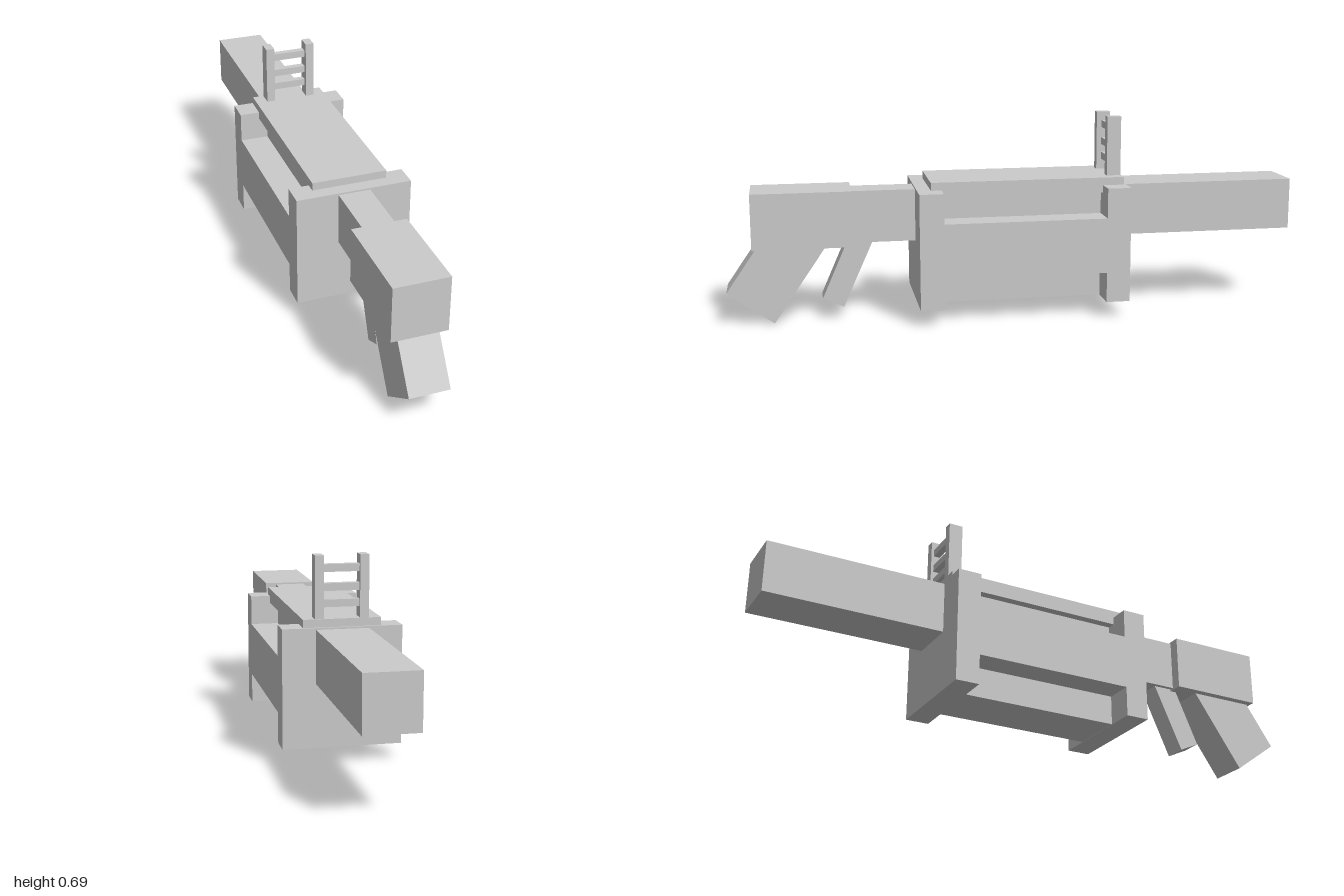
import * as THREE from 'three';

const material = new THREE.MeshStandardMaterial({ color: 0xcccccc, flatShading: true });

export function createModel() {
  const model = new THREE.Group();

  const add = (name, geometry) => {
    const mesh = new THREE.Mesh(geometry, material);
    mesh.name = name;
    model.add(mesh);
    return mesh;
  };

  // Box given by its limits on each axis
  const box = (name, [x0, x1], [y0, y1], [z0, z1]) =>
    add(name, new THREE.BoxGeometry(x1 - x0, y1 - y0, z1 - z0))
      .position.set((x0 + x1) / 2, (y0 + y1) / 2, (z0 + z1) / 2);

  // Side profile of [z, y] points, extruded across x
  const slab = (name, halfWidth, points) => {
    const shape = new THREE.Shape(points.map(([z, y]) => new THREE.Vector2(-z, y)));
    const geometry = new THREE.ExtrudeGeometry(shape, { depth: 2 * halfWidth, bevelEnabled: false });
    geometry.translate(0, 0, -halfWidth).rotateY(Math.PI / 2);
    add(name, geometry);
  };

  // Body: core, flush side panels, end plates and lid
  box('bodyCore', [-0.1, 0.1], [0.056, 0.44], [-0.3, 0.28]);
  box('sidePanels', [-0.2, 0.2], [0.16, 0.352], [-0.296, 0.27]);
  box('frontPlate', [-0.2, 0.2], [0.055, 0.456], [0.27, 0.353]);
  box('backPlate', [-0.2, 0.2], [0.055, 0.456], [-0.378, -0.295]);
  box('lid', [-0.13, 0.13], [0.43, 0.483], [-0.37, 0.306]);

  // Barrel, neck and end block
  box('barrel', [-0.088, 0.088], [0.27, 0.45], [-1, -0.37]);
  box('neck', [-0.055, 0.055], [0.27, 0.45], [0.34, 0.58]);
  box('endBlock', [-0.094, 0.094], [0.263, 0.456], [0.57, 0.91]);

  // Slanted grip and trigger, their tops sunk into the parts above
  slab('grip', 0.068, [[0.842, 0], [1, 0.113], [0.89, 0.273], [0.655, 0.273]]);
  slab('trigger', 0.04, [[0.604, 0.04], [0.676, 0.073], [0.587, 0.275], [0.498, 0.275]]);

  // Ladder sight
  for (const side of [-1, 1]) {
    const xs = [side * 0.06, side * 0.09].sort((a, b) => a - b);
    box(side > 0 ? 'leftSightPost' : 'rightSightPost', xs, [0.48, 0.69], [-0.367, -0.318]);
  }
  for (const y of [0.532, 0.585, 0.647]) {
    box('sightRung', [-0.062, 0.062], [y - 0.0125, y + 0.0125], [-0.358, -0.335]);
  }

  return model;
}
